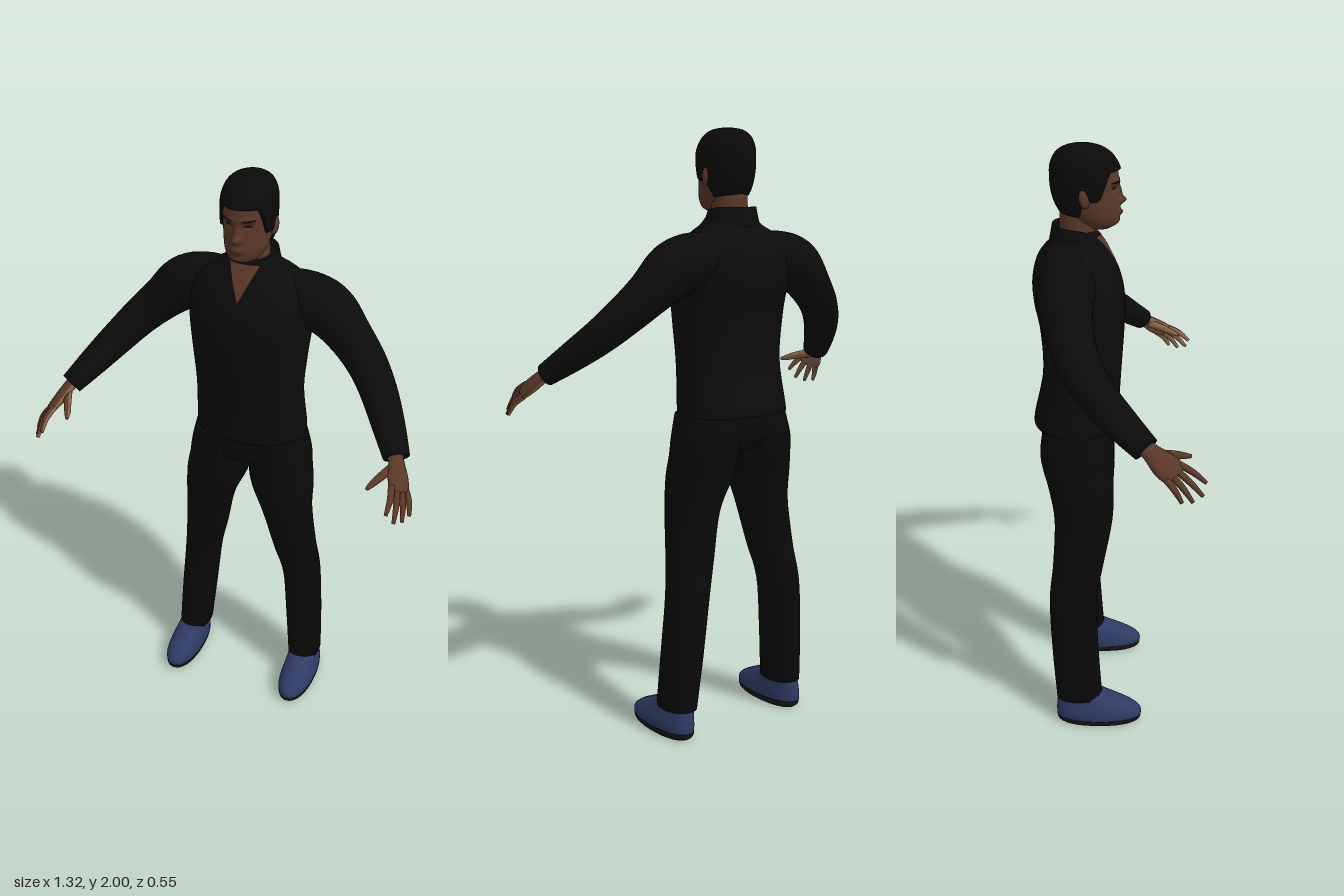
import * as THREE from 'three';

const mat = (name, color, side = THREE.FrontSide) => {
  const m = new THREE.MeshStandardMaterial({ color, side });
  m.name = name;
  return m;
};
const V = (x, y, z) => new THREE.Vector3(x, y, z);

// Catmull-Rom blend of key rows at a fractional row index
function spline(rows, t) {
  const n = rows.length - 1;
  const i = Math.min(Math.max(Math.floor(t), 0), n - 1), f = t - i;
  const [a, b, c, d] = [-1, 0, 1, 2].map((k) => rows[Math.min(Math.max(i + k, 0), n)]);
  return b.map((p, k) => 0.5 * (2 * p + (c[k] - a[k]) * f
    + (2 * a[k] - 5 * p + 4 * c[k] - d[k]) * f * f
    + (3 * p - a[k] - 3 * c[k] + d[k]) * f * f * f));
}

// Skin a list of closed rings; mirror = copy to the other side of x
function skin(rings, { mirror = false, caps = true, split = false } = {}) {
  const n = rings[0].length, m = rings.length, pos = [], idx = [];
  rings.forEach((r) => r.forEach((p) => pos.push(mirror ? -p.x : p.x, p.y, p.z)));
  const tri = (a, b, c) => (mirror ? idx.push(a, c, b) : idx.push(a, b, c));
  for (let j = 0; j < n; j++) {
    const k = (j + 1) % n;
    for (let i = 0; i < m - 1; i++) {
      tri(i * n + j, (i + 1) * n + j, i * n + k);
      tri(i * n + k, (i + 1) * n + j, (i + 1) * n + k);
    }
  }
  const half = idx.length / 2;
  if (caps) {
    [0, m - 1].forEach((i, end) => {
      const c = rings[i].reduce((s, p) => s.add(p), V(0, 0, 0)).divideScalar(n);
      const at = pos.length / 3;
      pos.push(mirror ? -c.x : c.x, c.y, c.z);
      for (let j = 0; j < n; j++) {
        const a = i * n + j, b = i * n + ((j + 1) % n);
        end ? tri(a, at, b) : tri(a, b, at);
      }
    });
  }
  const g = new THREE.BufferGeometry();
  g.setAttribute('position', new THREE.Float32BufferAttribute(pos, 3));
  g.setIndex(idx);
  if (split) {
    g.addGroup(0, half, 1);
    g.addGroup(half, idx.length - half, 0);
  }
  g.computeVertexNormals();
  return g;
}

// Horizontal section row: [y, centre x, half width, front z, back z]
const sp = (v, e) => Math.sign(v) * Math.abs(v) ** e;
function sectionPoint([y, cx, rx, zf, zb], a, e = 1, grow = 0) {
  return V(cx + (rx + grow) * sp(Math.cos(a), e), y,
    (zf + zb) / 2 + ((zf - zb) / 2 + grow) * sp(Math.sin(a), e));
}
function body(rows, { seg = 40, steps = 5, e = 1, sculpt, mirror } = {}) {
  const rings = [], count = (rows.length - 1) * steps;
  for (let i = 0; i <= count; i++) {
    const s = spline(rows, i / steps);
    rings.push(Array.from({ length: seg }, (_, j) => {
      const p = sectionPoint(s, (j / seg) * Math.PI * 2, e);
      return sculpt ? sculpt(p) : p;
    }));
  }
  return skin(rings, { mirror });
}

// Tapered limb along keys [x, y, z, radius along ref, radius across]
function limb(keys, ref, { seg = 20, steps = 5, mirror, split } = {}) {
  const rings = [], count = (keys.length - 1) * steps;
  for (let i = 0; i <= count; i++) {
    const t = i / steps, [x, y, z, ru, rv] = spline(keys, t);
    const a = spline(keys, Math.max(t - 0.05, 0)), b = spline(keys, Math.min(t + 0.05, keys.length - 1));
    const T = V(b[0] - a[0], b[1] - a[1], b[2] - a[2]).normalize();
    const u = ref.clone().addScaledVector(T, -ref.dot(T)).normalize();
    const v = u.clone().cross(T);
    rings.push(Array.from({ length: seg }, (_, j) => {
      const q = (j / seg) * Math.PI * 2;
      return V(x, y, z).addScaledVector(u, ru * Math.cos(q)).addScaledVector(v, rv * Math.sin(q));
    }));
  }
  return skin(rings, { mirror, split });
}

// Thin patch lying on the front of a sectioned body
function patch(rows, y0, y1, cx, hw, { e = 1, lift = 0.003, sculpt } = {}) {
  const g = new THREE.PlaneGeometry(2, 1, 10, 12), p = g.attributes.position;
  for (let i = 0; i < p.count; i++) {
    const v = p.getY(i) + 0.5, x = cx + p.getX(i) * hw(v), y = y0 + (y1 - y0) * v;
    let lo = 0, hi = rows.length - 1;
    for (let k = 0; k < 30; k++) {
      const mid = (lo + hi) / 2;
      spline(rows, mid)[0] < y ? (lo = mid) : (hi = mid);
    }
    const s = spline(rows, lo);
    const c = Math.min(Math.abs(x - s[1]) / s[2], 1) ** (1 / e);
    const q = V(x, y, (s[3] + s[4]) / 2 + ((s[3] - s[4]) / 2) * Math.sqrt(1 - c * c) ** e);
    if (sculpt) sculpt(q);
    p.setXYZ(i, q.x, q.y, q.z + lift);
  }
  g.computeVertexNormals();
  return g;
}

const TORSO = [[1.08, 0, 0.19, 0.015, -0.265], [1.1, 0, 0.19, 0.016, -0.266], [1.25, 0, 0.183, 0.025, -0.235],
  [1.4, 0, 0.195, 0.035, -0.24], [1.5, 0, 0.205, 0.037, -0.258], [1.57, 0, 0.205, 0.025, -0.262],
  [1.63, 0, 0.19, 0, -0.25], [1.67, 0, 0.14, -0.02, -0.225], [1.695, 0, 0.1, -0.035, -0.2], [1.73, 0, 0.076, -0.055, -0.185]];
const HEAD = [[1.735, 0, 0.03, -0.012, -0.09], [1.75, 0, 0.05, 0.01, -0.115], [1.775, 0, 0.065, 0.018, -0.15],
  [1.81, 0, 0.073, 0.017, -0.175], [1.85, 0, 0.077, 0.014, -0.188], [1.89, 0, 0.078, 0.016, -0.192],
  [1.93, 0, 0.076, 0.01, -0.19], [1.965, 0, 0.062, -0.015, -0.172], [1.983, 0, 0.036, -0.05, -0.14], [1.988, 0, 0.004, -0.09, -0.1]];
const LEG = [[0.1, 0.226, 0.057, -0.04, -0.2], [0.28, 0.213, 0.062, -0.052, -0.213], [0.47, 0.196, 0.065, -0.058, -0.22],
  [0.6, 0.172, 0.073, -0.035, -0.207], [0.76, 0.147, 0.084, -0.004, -0.2], [0.87, 0.123, 0.107, 0, -0.218],
  [0.94, 0.111, 0.108, 0, -0.237], [1.0, 0.106, 0.105, 0, -0.245], [1.08, 0.1, 0.09, 0, -0.235]];

// Nose, brow, eye sockets, lips and chin pushed out of the face
function face(p) {
  if (p.z < -0.06) return p;
  const bump = (x, y, w, h) => Math.exp(-(((Math.abs(p.x) - x) / w) ** 2) - ((p.y - y) / h) ** 2);
  p.z += 0.022 * bump(0, 1.824, 0.014, 0.013) + 0.012 * bump(0, 1.85, 0.01, 0.022)
    + 0.006 * bump(0.025, 1.886, 0.03, 0.009) - 0.008 * bump(0.031, 1.866, 0.015, 0.011)
    + 0.009 * bump(0, 1.787, 0.022, 0.012) + 0.005 * bump(0, 1.757, 0.02, 0.01);
  return p;
}

// Short hair: a shell over the skull with a shaped hairline
function hairShell() {
  const rings = [], seg = 72, rowsN = 28;
  for (let i = 0; i <= rowsN; i++) {
    rings.push(Array.from({ length: seg }, (_, j) => {
      const a = (j / seg) * Math.PI * 2, f = Math.sin(a), k = i / rowsN;
      const start = 2.1 + 1.4 * THREE.MathUtils.smoothstep(f, -0.5, 0) + 2.2 * THREE.MathUtils.smoothstep(f, 0.35, 0.75);
      const p = sectionPoint(spline(HEAD, start + (9 - start) * k), a, 1, i === 0 ? -0.003 : 0.01);
      p.y += 0.012 * k;
      return p;
    }));
  }
  return skin(rings);
}

// Standing collar, open at the throat
function collarBand() {
  const g = new THREE.PlaneGeometry(2, 1, 40, 4), p = g.attributes.position;
  for (let i = 0; i < p.count; i++) {
    const s = p.getX(i), k = p.getY(i) + 0.5, front = Math.abs(s) ** 4;
    const a = -Math.PI / 2 + s * 2.55;
    p.setXYZ(i, (0.1 - 0.018 * k) * Math.cos(a), 1.675 + (0.075 - 0.02 * front) * k - 0.01 * front,
      -0.117 - 0.006 * k + (0.093 - 0.02 * k) * Math.sin(a));
  }
  g.computeVertexNormals();
  return g;
}

export function createModel() {
  const root = new THREE.Group();
  const skinM = mat('skin', 0x5a3828), palmM = mat('palm skin', 0x8a644c), hairM = mat('hair', 0x0b0a09);
  const shirtM = mat('shirt cloth', 0x0b0b0b), collarM = mat('collar cloth', 0x0b0b0b, THREE.DoubleSide);
  const trouserM = mat('trouser cloth', 0x090909), shoeM = mat('shoe blue', 0x2e3a63), soleM = mat('sole', 0x17171a);
  const eyeM = mat('eye', 0x1c1512), lipM = mat('lips', 0x4a2a20);
  const add = (name, geo, m) => {
    const mesh = new THREE.Mesh(geo, m);
    mesh.name = name;
    root.add(mesh);
    return mesh;
  };

  // Head and neck
  add('head', body(HEAD, { seg: 80, steps: 7, sculpt: face }), skinM);
  add('hair', hairShell(), hairM);
  add('neck', body([[1.62, 0, 0.065, -0.05, -0.17], [1.7, 0, 0.06, -0.052, -0.172], [1.79, 0, 0.056, -0.045, -0.172]]), skinM);
  const oval = (w) => (v) => w * Math.sqrt(Math.max(0, 1 - (2 * v - 1) ** 2));
  add('lips', patch(HEAD, 1.779, 1.794, 0, oval(0.023), { sculpt: face, lift: 0.0015 }), lipM);

  // Shirt
  add('shirtTorso', body(TORSO, { seg: 56, e: 0.85 }), shirtM);
  add('openNeck', patch(TORSO, 1.605, 1.715, 0, (v) => 0.05 * v, { e: 0.85 }), skinM);
  add('collar', collarBand(), collarM);

  // Hips
  add('trouserSeat', body([[0.95, 0, 0.06, -0.05, -0.18], [0.98, 0, 0.16, -0.015, -0.225],
    [1.02, 0, 0.203, 0, -0.245], [1.11, 0, 0.184, 0.004, -0.235]], { e: 0.9 }), trouserM);

  const across = V(0.04, -0.035, -0.045).normalize();
  for (const side of [1, -1]) {
    const mirror = side < 0, s = mirror ? 'right' : 'left';
    // Face details
    add(s + 'Eye', patch(HEAD, 1.862, 1.871, side * 0.032, oval(0.013), { sculpt: face, lift: 0.0015 }), eyeM);
    add(s + 'Eyebrow', patch(HEAD, 1.882, 1.89, side * 0.034, oval(0.02), { sculpt: face, lift: 0.0015 }), hairM);
    const ear = add(s + 'Ear', new THREE.SphereGeometry(1, 16, 12), skinM);
    ear.scale.set(0.01, 0.031, 0.018);
    ear.position.set(side * 0.083, 1.845, -0.09);
    ear.rotation.set(-0.15, side * -0.35, 0);

    // Sleeve
    add(s + 'Sleeve', limb([[0.09, 1.59, -0.135, 0.08, 0.09], [0.18, 1.583, -0.145, 0.088, 0.092],
      [0.255, 1.553, -0.145, 0.09, 0.085], [0.33, 1.487, -0.13, 0.073, 0.074], [0.4, 1.42, -0.1, 0.064, 0.067],
      [0.46, 1.355, -0.05, 0.057, 0.062], [0.52, 1.287, 0.025, 0.048, 0.055], [0.573, 1.226, 0.1, 0.037, 0.045]],
    V(0.35, 1, 0), { seg: 32, mirror }), shirtM);

    // Hand with four fingers and a thumb
    const hand = (name, keys) => add(s + name, limb(keys, across, { seg: 12, mirror, split: true }), [skinM, palmM]);
    hand('Palm', [[0.562, 1.24, 0.085, 0.026, 0.02], [0.578, 1.218, 0.115, 0.03, 0.02],
      [0.595, 1.19, 0.15, 0.042, 0.019], [0.609, 1.168, 0.18, 0.042, 0.015], [0.614, 1.16, 0.19, 0.03, 0.008]]);
    const tips = [[0.598, 1.13, 0.278], [0.622, 1.098, 0.268], [0.641, 1.087, 0.238], [0.655, 1.092, 0.205]];
    tips.forEach(([x, y, z], i) => {
      const k = (i - 1.5) * 0.021, b = V(0.607, 1.17, 0.178).addScaledVector(across, k);
      const mid = b.clone().lerp(V(x, y, z), 0.5).add(V(0.005, 0.005, 0.002));
      hand('Finger' + (i + 1), [[b.x, b.y, b.z, 0.011, 0.011], [mid.x, mid.y, mid.z, 0.01, 0.01],
        [x, y, z, 0.006, 0.006]]);
    });
    hand('Thumb', [[0.572, 1.208, 0.13, 0.015, 0.015], [0.55, 1.198, 0.175, 0.014, 0.013],
      [0.533, 1.188, 0.208, 0.011, 0.011], [0.521, 1.18, 0.235, 0.006, 0.006]]);

    // Trouser leg and shoe
    add(s + 'TrouserLeg', body(LEG, { mirror, e: 0.9 }), trouserM);
    add(s + 'Shoe', body([[0.022, 0.232, 0.06, 0.097, -0.2], [0.045, 0.232, 0.061, 0.096, -0.201],
      [0.068, 0.231, 0.057, 0.068, -0.2], [0.09, 0.229, 0.052, 0.022, -0.198], [0.112, 0.227, 0.049, -0.03, -0.193],
      [0.125, 0.226, 0.043, -0.05, -0.185]], { mirror, e: 0.9 }), shoeM);
    add(s + 'Sole', body([[0, 0.232, 0.05, 0.08, -0.185], [0.01, 0.232, 0.058, 0.094, -0.197],
      [0.026, 0.232, 0.061, 0.098, -0.201]], { mirror, e: 0.9 }), soleM);
  }
  return root;
}
